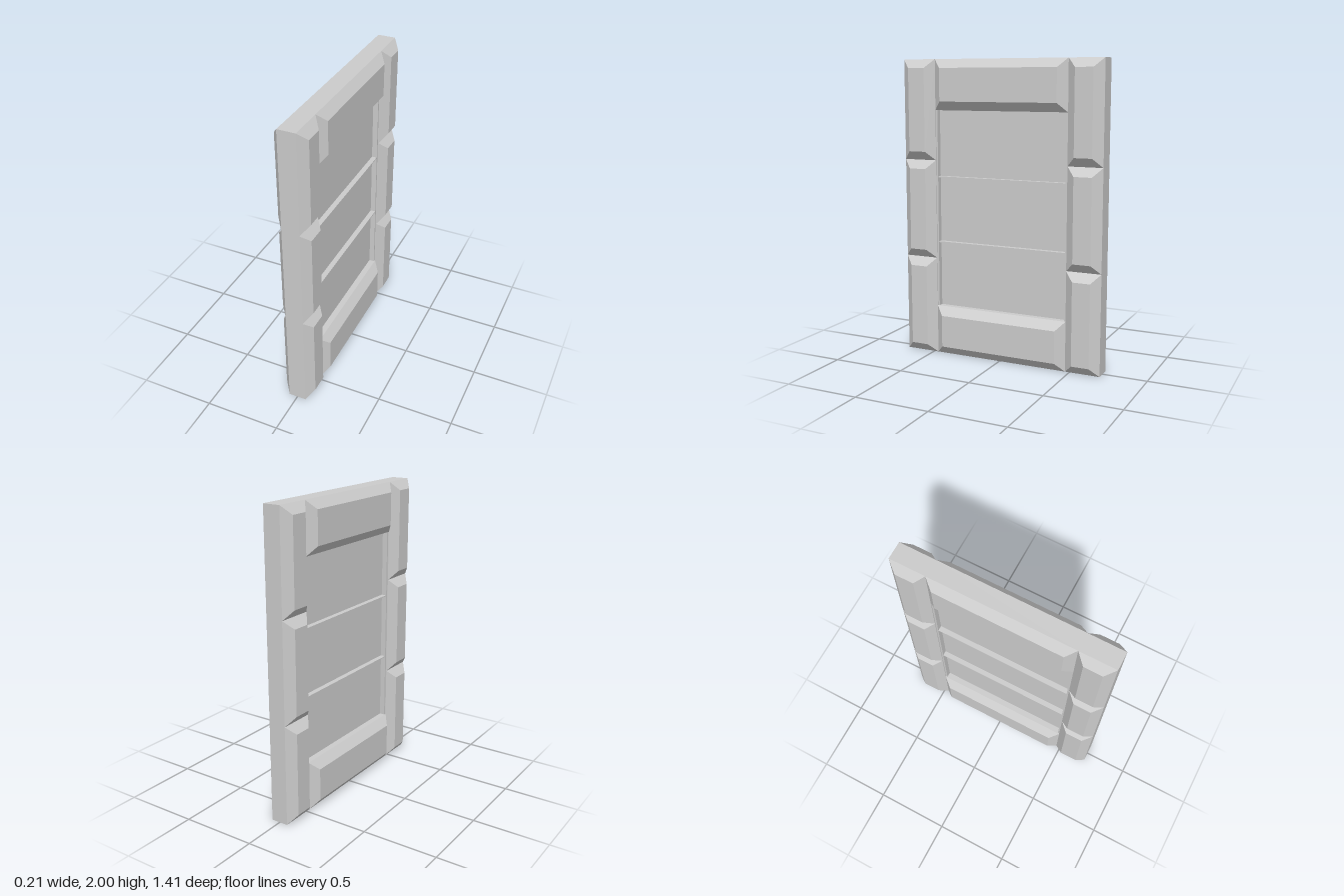
import * as THREE from 'three';

const CORE = 0.058, FACE = 0.106, BEVEL = 0.058;
const HEIGHT = 2, HALF_W = 0.705, INNER_W = 0.47, RAIL = 0.333;

const material = new THREE.MeshStandardMaterial({ color: 0xcccccc, flatShading: true });

function addMesh(parent, name, geometry, y, z) {
  const mesh = new THREE.Mesh(geometry, material);
  mesh.name = name;
  mesh.position.set(0, y, z);
  parent.add(mesh);
}

// Block with a raised, bevelled face on both broad sides
function bevelledBlock(h, d) {
  const g = new THREE.BoxGeometry(2, h, d, 3, 1, 1);
  const p = g.attributes.position;
  for (let i = 0; i < p.count; i++) {
    const x = p.getX(i), outer = Math.abs(x) > 0.9;
    const inset = outer ? BEVEL : 0;
    p.setXYZ(i, Math.sign(x) * (outer ? FACE : CORE),
      Math.sign(p.getY(i)) * (h / 2 - inset),
      Math.sign(p.getZ(i)) * (d / 2 - inset));
  }
  const flat = g.toNonIndexed();
  flat.computeVertexNormals();
  return flat;
}

export function createModel() {
  const door = new THREE.Group();
  door.name = 'panelDoor';

  // Side stiles, three blocks each
  const stileW = HALF_W - INNER_W, blockH = HEIGHT / 3;
  for (const side of [-1, 1]) {
    const stile = new THREE.Group();
    stile.name = side > 0 ? 'frontStile' : 'backStile';
    for (let i = 0; i < 3; i++) {
      addMesh(stile, 'stileBlock', bevelledBlock(blockH, stileW),
        (i + 0.5) * blockH, side * (INNER_W + stileW / 2));
    }
    door.add(stile);
  }

  // Bottom and top rails
  addMesh(door, 'bottomRail', bevelledBlock(RAIL, INNER_W * 2), RAIL / 2, 0);
  addMesh(door, 'topRail', bevelledBlock(RAIL, INNER_W * 2), HEIGHT - RAIL / 2, 0);

  // Recessed centre panel
  const openH = HEIGHT - 2 * RAIL;
  addMesh(door, 'recessedPanel', new THREE.BoxGeometry(0.036, openH, INNER_W * 2), HEIGHT / 2, 0);

  // Slim lining at the sides of the opening
  const lining = 0.012;
  for (const side of [-1, 1]) {
    addMesh(door, 'sideLining', new THREE.BoxGeometry(0.106, openH, lining),
      HEIGHT / 2, side * (INNER_W - lining / 2));
  }

  // Thin bars dividing the panel in three
  for (const k of [1, 2]) {
    addMesh(door, 'dividerBar', new THREE.BoxGeometry(0.104, 0.007, (INNER_W - lining) * 2),
      RAIL + openH * k / 3, 0);
  }
  return door;
}
